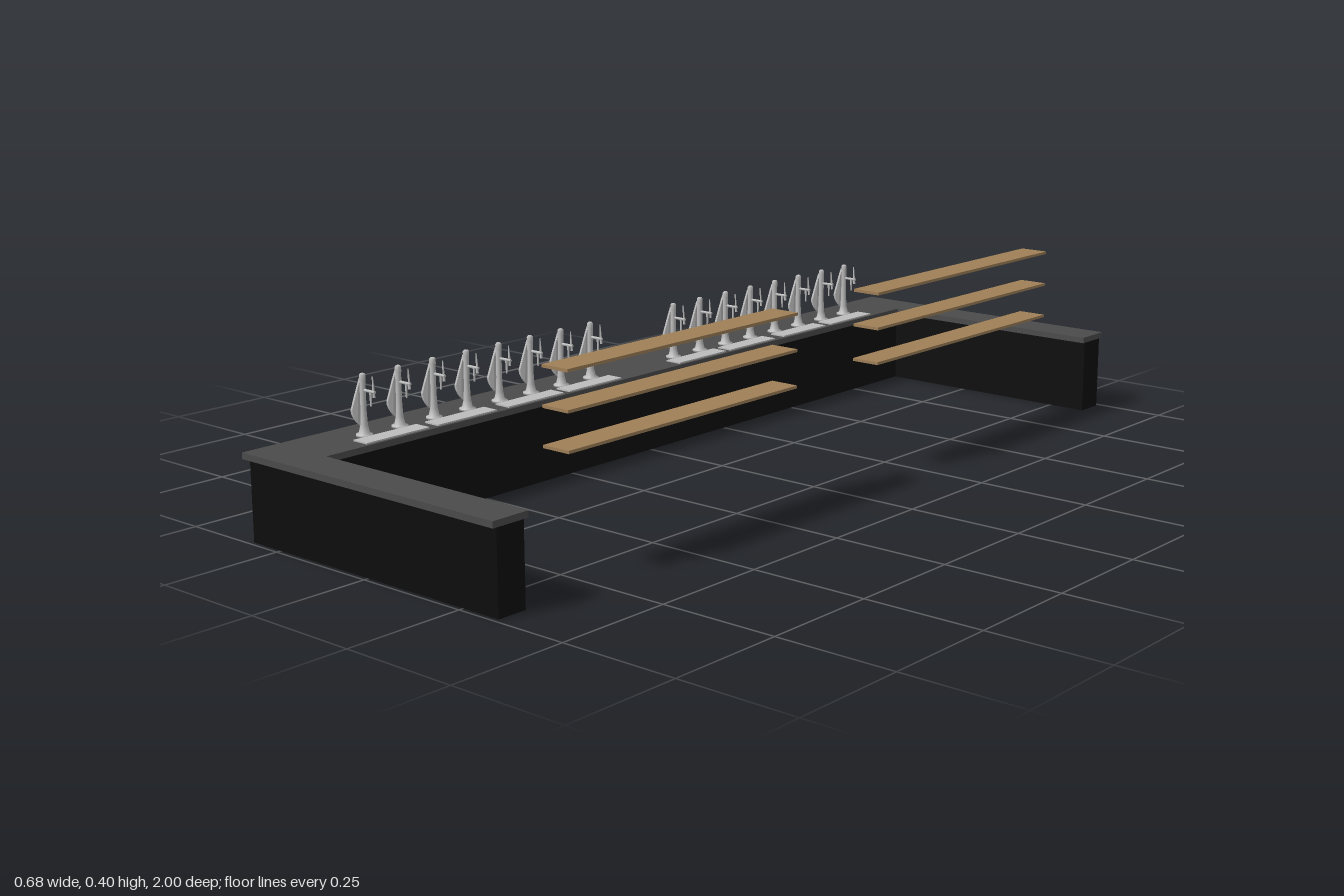
import * as THREE from 'three';

const mat = (name, color, side = THREE.FrontSide) => {
  const m = new THREE.MeshStandardMaterial({ color, side });
  m.name = name;
  return m;
};

export function createModel() {
  const root = new THREE.Group();
  root.name = 'barCounter';
  const black = mat('black panel', 0x0d0d0d);
  const stone = mat('dark grey worktop', 0x4b4b4b);
  const wood = mat('shelf wood', 0x9f7f57);
  const steel = mat('steel', 0xbcbcbc);

  const add = (parent, name, geo, material, x = 0, y = 0, z = 0) => {
    const m = new THREE.Mesh(geo, material);
    m.name = name;
    m.position.set(x, y, z);
    parent.add(m);
    return m;
  };
  // box given by its min and max corners
  const block = (parent, name, material, x0, x1, y0, y1, z0, z1) =>
    add(parent, name, new THREE.BoxGeometry(x1 - x0, y1 - y0, z1 - z0), material,
      (x0 + x1) / 2, (y0 + y1) / 2, (z0 + z1) / 2);

  // U-shaped slab: outer edge, inner edge, thickness; optional openings through it
  const slab = (name, material, back, end, outZ, inX, inZ, y0, y1, holes = []) => {
    const s = new THREE.Shape([
      [back, -outZ], [end, -outZ], [end, -inZ], [inX, -inZ],
      [inX, inZ], [end, inZ], [end, outZ], [back, outZ],
    ].map(([x, z]) => new THREE.Vector2(x, z)));
    for (const z of holes) {
      s.holes.push(new THREE.Path([[-0.31, z - 0.06], [-0.31, z + 0.06], [-0.225, z + 0.06], [-0.225, z - 0.06]]
        .map(([x, w]) => new THREE.Vector2(x, w))));
    }
    const g = new THREE.ExtrudeGeometry(s, { depth: y1 - y0, bevelEnabled: false });
    g.rotateX(-Math.PI / 2);
    add(root, name, g, material, 0, y0, 0);
  };

  const trayZ = [0.175, 0.353, 0.547, 0.73];
  const bays = [...trayZ, ...trayZ.map((z) => -z)];

  // counter: base with open bays underneath, and the overhanging worktop
  slab('counterBaseLower', black, -0.33, 0.338, 0.99, -0.207, 0.925, 0, 0.12, bays);
  slab('counterBaseUpper', black, -0.33, 0.338, 0.99, -0.207, 0.925, 0.12, 0.165);
  slab('worktop', stone, -0.34, 0.34, 1, -0.197, 0.915, 0.165, 0.178);

  // two stacks of three floating shelves
  for (const [z0, z1] of [[-0.79, -0.14], [0.13, 0.78]]) {
    for (const y of [0.246, 0.32, 0.394]) {
      block(root, 'shelf', wood, 0.242, 0.306, y - 0.003, y + 0.003, z0, z1);
    }
  }

  // drip trays
  for (const z of bays) {
    block(root, 'dripTray', steel, -0.243, -0.204, 0.178, 0.181, z - 0.08, z + 0.08);
  }

  // tap: flared column, cap, spout, lever and a pointed badge at the back
  const columnGeo = new THREE.LatheGeometry([
    [0, 0.178], [0.017, 0.178], [0.017, 0.182], [0.011, 0.185], [0.0075, 0.2],
    [0.006, 0.23], [0.006, 0.288], [0.0065, 0.29], [0.0065, 0.3], [0.004, 0.303], [0, 0.303],
  ].map(([r, y]) => new THREE.Vector2(r, y)), 14);
  const badgeShape = new THREE.Shape();
  badgeShape.moveTo(0, 0.098);
  badgeShape.quadraticCurveTo(0.009, 0.07, 0.018, 0.035);
  badgeShape.quadraticCurveTo(0.016, 0.012, 0, 0);
  badgeShape.quadraticCurveTo(-0.016, 0.012, -0.018, 0.035);
  badgeShape.quadraticCurveTo(-0.009, 0.07, 0, 0.098);
  const badgeGeo = new THREE.ExtrudeGeometry(badgeShape, { depth: 0.005, bevelEnabled: false, curveSegments: 6 });
  badgeGeo.rotateY(-Math.PI / 2);
  // the badge swells out at its widest point and lies close to the column at its ends
  const p = badgeGeo.attributes.position;
  for (let i = 0; i < p.count; i++) {
    const y = p.getY(i);
    const out = y < 0.03 ? y / 0.03 : (0.098 - y) / 0.068;
    p.setX(i, p.getX(i) - 0.008 * out);
  }
  badgeGeo.computeVertexNormals();
  const spoutGeo = new THREE.CylinderGeometry(0.003, 0.003, 0.033, 10).rotateZ(Math.PI / 2);
  const nozzleGeo = new THREE.CylinderGeometry(0.003, 0.0018, 0.028, 10);
  const leverGeo = new THREE.CylinderGeometry(0.0012, 0.0028, 0.042, 10);

  const tap = (z) => {
    const g = new THREE.Group();
    g.name = 'tap';
    g.position.set(-0.258, 0, z);
    add(g, 'column', columnGeo, steel);
    add(g, 'badge', badgeGeo, steel, -0.005, 0.195, 0);
    add(g, 'spout', spoutGeo, steel, 0.019, 0.27, 0);
    add(g, 'nozzle', nozzleGeo, steel, 0.023, 0.255, 0);
    const lever = add(g, 'lever', leverGeo, steel, 0.031, 0.28, 0);
    lever.rotation.z = 0.07;
    root.add(g);
  };
  for (const side of [-1, 1]) {
    for (let i = 0; i < 8; i++) tap(side * (0.135 + i * 0.0907));
  }
  return root;
}
